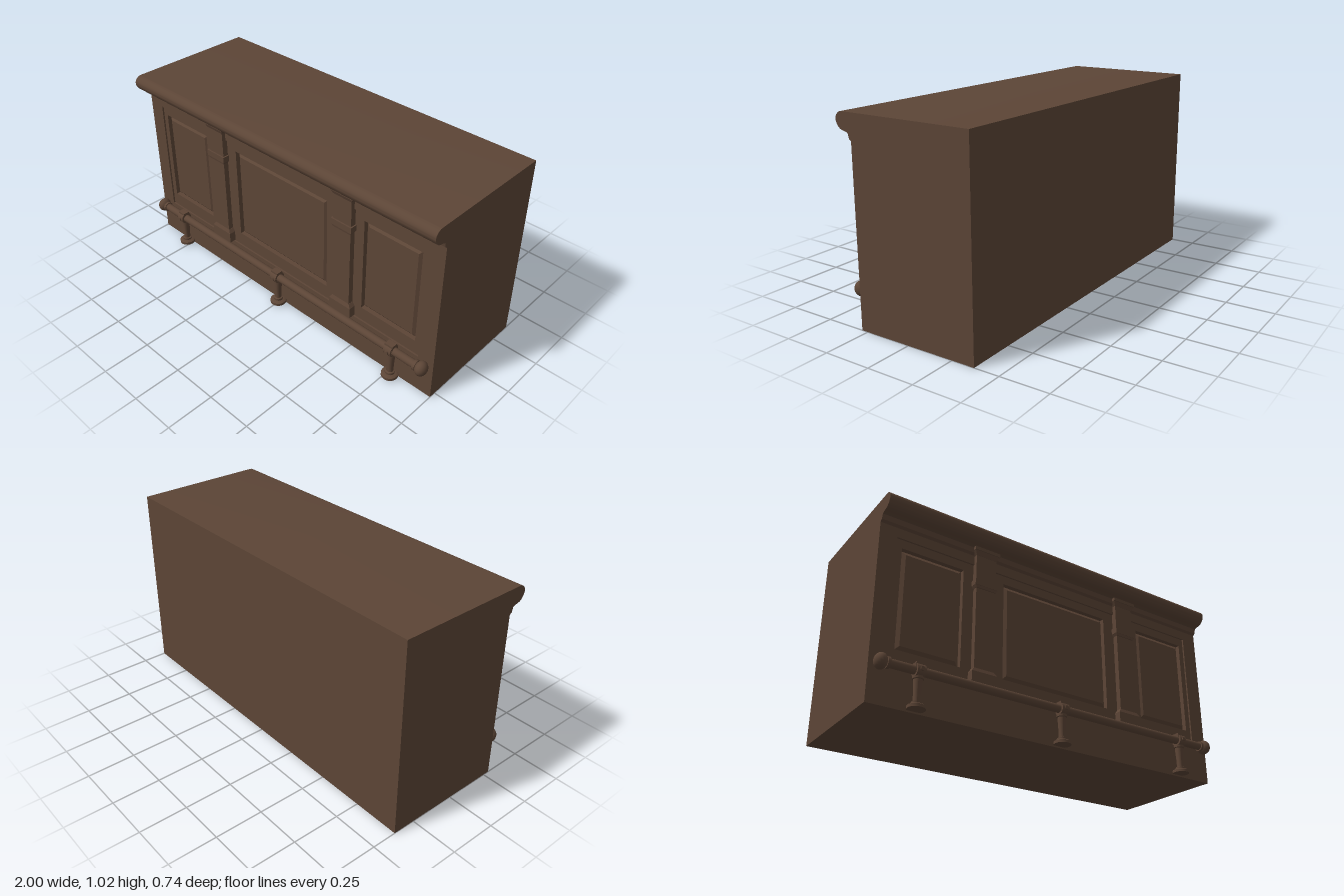
import * as THREE from 'three';
import { toCreasedNormals } from 'three/addons/utils/BufferGeometryUtils.js';

const wood = new THREE.MeshStandardMaterial({ color: 0x5c4536 });
wood.name = 'darkWood';

export function createModel() {
  const group = new THREE.Group();
  group.name = 'barCounter';

  const add = (name, geometry, x = 0, y = 0, z = 0) => {
    const mesh = new THREE.Mesh(geometry, wood);
    mesh.name = name;
    mesh.position.set(x, y, z);
    group.add(mesh);
    return mesh;
  };

  const rect = (Type, x0, y0, x1, y1) => new Type().moveTo(x0, y0).lineTo(x1, y0).lineTo(x1, y1).lineTo(x0, y1).closePath();

  // Flat plate with rectangular openings, given as [x0, y0, x1, y1]
  const plate = (outline, openings, depth) => {
    const shape = rect(THREE.Shape, ...outline);
    shape.holes = openings.map(o => rect(THREE.Path, ...o));
    return new THREE.ExtrudeGeometry(shape, { depth, bevelEnabled: false });
  };

  // Box whose upper or front end has a different half-size
  const taperedBox = (w, h, d, axis, shrinkA, shrinkB) => {
    const g = new THREE.BoxGeometry(w, h, d);
    const p = g.attributes.position;
    for (let i = 0; i < p.count; i++) {
      if (axis === 'y' && p.getY(i) > 0) {
        p.setX(i, p.getX(i) * shrinkA);
        if (p.getZ(i) > 0) p.setZ(i, p.getZ(i) + shrinkB);
      }
      if (axis === 'z' && p.getZ(i) > 0) {
        p.setX(i, p.getX(i) - Math.sign(p.getX(i)) * shrinkA);
        p.setY(i, p.getY(i) - Math.sign(p.getY(i)) * shrinkB);
      }
    }
    g.computeVertexNormals();
    return g;
  };

  // Cabinet and rounded counter edge: one side profile (z, y) swept along x
  const profile = new THREE.Shape();
  profile.moveTo(-0.37, 0).lineTo(0.25, 0).lineTo(0.25, 0.895).lineTo(0.285, 0.895);
  profile.lineTo(0.297, 0.905).lineTo(0.303, 0.93);
  profile.bezierCurveTo(0.32, 0.94, 0.34, 0.935, 0.355, 0.95);
  profile.bezierCurveTo(0.376, 0.97, 0.38, 0.997, 0.362, 1.012);
  profile.quadraticCurveTo(0.352, 1.023, 0.338, 1.024);
  profile.lineTo(-0.37, 1.022).closePath();
  const body = new THREE.ExtrudeGeometry(profile, { depth: 2, bevelEnabled: false, curveSegments: 10 });
  body.rotateY(-Math.PI / 2).translate(1, 0, 0);
  add('cabinetBody', toCreasedNormals(body, 0.6));

  // Front: outer border, then a slightly recessed frame with three openings
  const panels = [[-0.88, 0.28, -0.55, 0.80], [-0.32, 0.28, 0.32, 0.80], [0.55, 0.28, 0.88, 0.80]];
  add('frontBorder', plate([-1, 0, 1, 0.895], [[-0.91, 0.205, 0.91, 0.845]], 0.009), 0, 0, 0.276);
  add('panelFrame', plate([-1, 0, 1, 0.895], panels, 0.026), 0, 0, 0.25);
  for (const [x0, y0, x1, y1] of panels) {
    add('raisedPanel', taperedBox(x1 - x0, y1 - y0, 0.02, 'z', 0.025, 0.025), (x0 + x1) / 2, (y0 + y1) / 2, 0.261);
  }

  // Pilasters between the panels
  for (const x of [-0.44, 0.44]) {
    add('pilasterShaft', new THREE.BoxGeometry(0.106, 0.7, 0.045), x, 0.56, 0.282);
    add('pilasterBase', new THREE.BoxGeometry(0.136, 0.058, 0.05), x, 0.236, 0.288);
    add('pilasterBaseSlope', taperedBox(0.136, 0.02, 0.05, 'y', 0.8, -0.008), x, 0.275, 0.288);
    add('pilasterBand', new THREE.BoxGeometry(0.126, 0.032, 0.05), x, 0.738, 0.289);
    add('pilasterBandFoot', taperedBox(0.108, 0.014, 0.047, 'y', 1.15, 0.003), x, 0.716, 0.286);
    add('pilasterNeck', new THREE.BoxGeometry(0.112, 0.16, 0.046), x, 0.83, 0.283);
    add('pilasterFlare', taperedBox(0.112, 0.025, 0.046, 'y', 1.25, 0.01), x, 0.903, 0.284);
    add('pilasterCap', new THREE.BoxGeometry(0.142, 0.018, 0.062), x, 0.923, 0.289);
  }

  // Foot rail with knobbed ends
  const railY = 0.186, railZ = 0.318;
  add('footRail', new THREE.CylinderGeometry(0.021, 0.021, 1.9, 16).rotateZ(Math.PI / 2), 0, railY, railZ);
  for (const side of [-1, 1]) {
    const knob = add('railKnob', new THREE.SphereGeometry(0.038, 16, 12), side * 0.957, railY, railZ);
    knob.scale.x = 0.8;
    add('railCollar', new THREE.CylinderGeometry(0.027, 0.027, 0.014, 16).rotateZ(Math.PI / 2), side * 0.925, railY, railZ);
  }

  // Turned rail posts with clamps
  const postProfile = [[0, 0.008], [0.043, 0.008], [0.043, 0.022], [0.036, 0.027], [0.025, 0.029], [0.025, 0.04],
    [0.018, 0.043], [0.018, 0.08], [0.022, 0.145], [0.026, 0.148], [0.026, 0.16], [0, 0.16]];
  for (const x of [-0.775, 0, 0.775]) {
    const post = new THREE.LatheGeometry(postProfile.map(p => new THREE.Vector2(...p)), 16);
    add('railPost', toCreasedNormals(post, 0.5), x, 0, 0.312);
    add('railClamp', new THREE.CylinderGeometry(0.032, 0.032, 0.042, 16).rotateZ(Math.PI / 2), x, railY, railZ);
    add('clampTop', new THREE.BoxGeometry(0.046, 0.05, 0.036), x, 0.197, railZ);
    add('clampBolt', new THREE.CylinderGeometry(0.01, 0.01, 0.008, 12).rotateX(Math.PI / 2), x, railY, railZ + 0.034);
  }

  return group;
}
